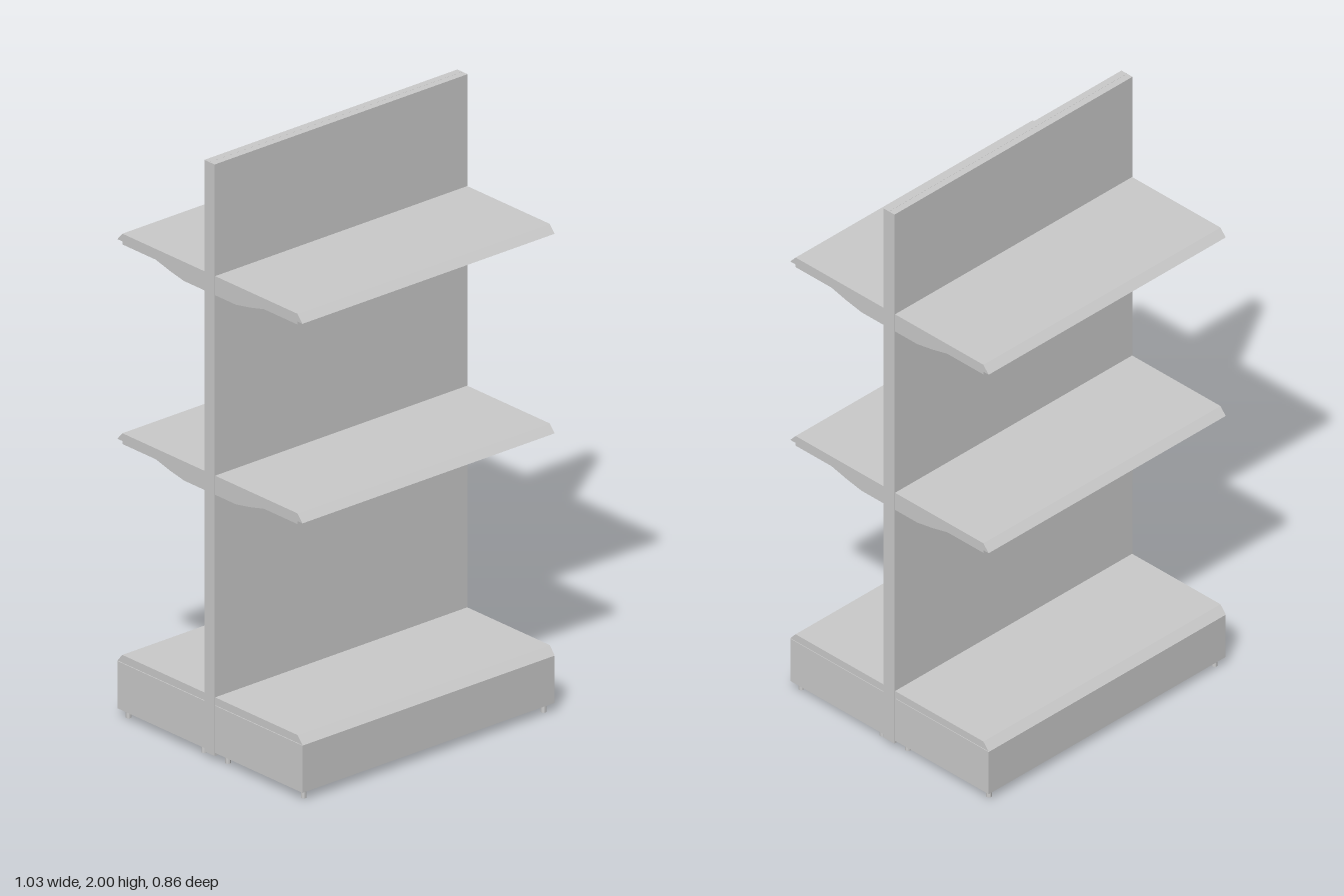
import * as THREE from 'three';

const material = new THREE.MeshStandardMaterial({ color: 0xcccccc, flatShading: true, side: THREE.DoubleSide });

function mesh(name, geometry, x = 0, y = 0, z = 0) {
  const m = new THREE.Mesh(geometry, material);
  m.name = name;
  m.position.set(x, y, z);
  return m;
}

// Extrudes a (z, y) profile along x, centred on x = 0
function extrudeAlongX(points, width) {
  const shape = new THREE.Shape(points.map(([z, y]) => new THREE.Vector2(-z, y)));
  const g = new THREE.ExtrudeGeometry(shape, { depth: width, bevelEnabled: false });
  g.translate(0, 0, -width / 2);
  g.rotateY(Math.PI / 2);
  return g;
}

const SHELF_WIDTH = 1.03;
const INNER = 0.024;

// Flat board with a sloping front lip; underside at y = 0
const boardGeometry = extrudeAlongX(
  [[INNER, 0], [0.428, 0], [0.405, 0.026], [INNER, 0.026]], SHELF_WIDTH);

// Thin tapering support plate under each shelf end
const bracketGeometry = extrudeAlongX(
  [[INNER, 0], [0.405, 0], [0.405, -0.01], [0.25, -0.01],
    [0.185, -0.026], [0.12, -0.038], [INNER, -0.038]], 0.004);

const footGeometry = new THREE.CylinderGeometry(0.009, 0.009, 0.032, 12);

function createShelf(y) {
  const shelf = new THREE.Group();
  shelf.name = 'shelf';
  shelf.position.y = y;
  shelf.add(mesh('shelfBoard', boardGeometry));
  for (const side of [-1, 1]) {
    shelf.add(mesh('shelfBracket', bracketGeometry, side * (SHELF_WIDTH / 2 - 0.002)));
  }
  return shelf;
}

// One face of the double-sided unit, built towards +z
function createSide(name) {
  const side = new THREE.Group();
  side.name = name;

  side.add(mesh('backPanel', new THREE.BoxGeometry(1.034, 1.98, 0.0235), 0, 1.01, 0.012));

  side.add(mesh('baseBox', new THREE.BoxGeometry(SHELF_WIDTH, 0.158, 0.428 - INNER),
    0, 0.109, (0.428 + INNER) / 2));
  side.add(mesh('baseBoard', boardGeometry, 0, 0.19));

  for (const x of [-0.49, 0.49]) {
    for (const z of [0.055, 0.405]) side.add(mesh('foot', footGeometry, x, 0.016, z));
  }

  for (const y of [0.932, 1.6]) side.add(createShelf(y));
  return side;
}

export function createModel() {
  const model = new THREE.Group();
  model.name = 'doubleSidedShelving';
  const front = createSide('frontSide');
  const back = createSide('backSide');
  back.rotation.y = Math.PI;
  model.add(front, back);
  return model;
}
